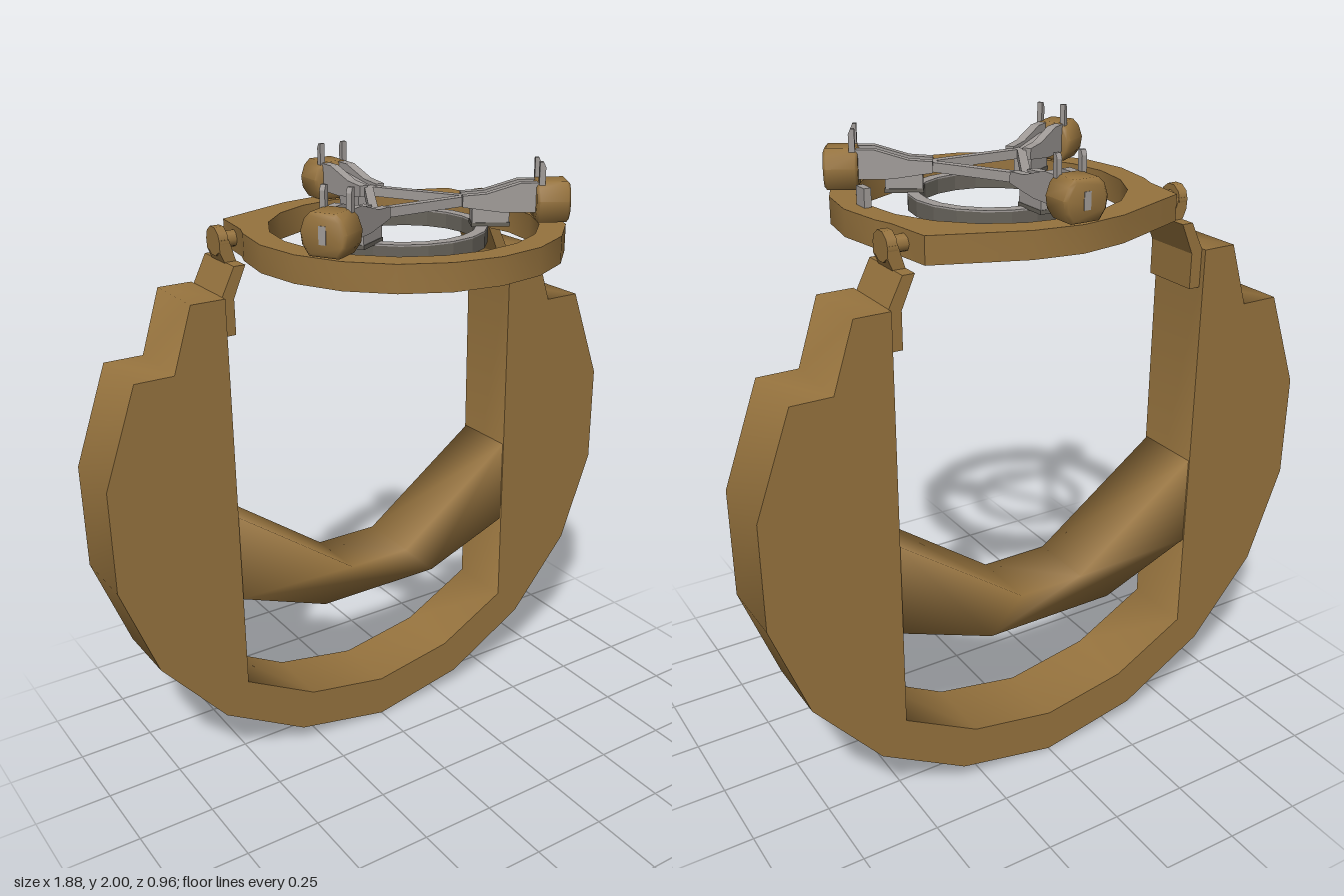
import * as THREE from 'three';
import { toCreasedNormals } from 'three/addons/utils/BufferGeometryUtils.js';

function paint(name, color) {
  const m = new THREE.MeshStandardMaterial({ color });
  m.name = name;
  return m;
}
const brown = paint('bronze brown', 0x96733e);
const grey = paint('metal grey', 0xa09b98);
const darkGrey = paint('dark ring grey', 0x66625a);

const shapeOf = (pts) => new THREE.Shape(pts.map(([x, y]) => new THREE.Vector2(x, y)));
const circlePts = (r, n) => Array.from({ length: n }, (_, i) => {
  const a = (i / n) * Math.PI * 2;
  return [r * Math.cos(a), r * Math.sin(a)];
});

function add(parent, name, geometry, material, x = 0, y = 0, z = 0) {
  const mesh = new THREE.Mesh(geometry, material);
  mesh.name = name;
  mesh.position.set(x, y, z);
  parent.add(mesh);
  return mesh;
}

const box = (w, h, d) => new THREE.BoxGeometry(w, h, d);

// Outline in (x, y), extruded between two z values
function slab(pts, z0, z1, bevel = 0) {
  const g = new THREE.ExtrudeGeometry(shapeOf(pts), {
    depth: z1 - z0 - 2 * bevel, bevelEnabled: bevel > 0,
    bevelSize: bevel, bevelThickness: bevel, bevelOffset: -bevel, bevelSegments: 1,
  });
  return g.translate(0, 0, z0 + bevel);
}

// Outline in (z, y), extruded across x and centred on x = cx
const rail = (pts, width, cx = 0) => slab(pts, -width / 2, width / 2).rotateY(-Math.PI / 2).translate(cx, 0, 0);

// Flat ring with a hole, lying between two heights
function flatRing(outer, inner, y0, y1) {
  const s = shapeOf(outer);
  s.holes.push(new THREE.Path(inner.map(([x, y]) => new THREE.Vector2(x, y))));
  return new THREE.ExtrudeGeometry(s, { depth: y1 - y0, bevelEnabled: false })
    .rotateX(-Math.PI / 2).translate(0, y0, 0);
}

// Open horseshoe frame with stepped shoulders, and its sagging cross band
function addFrame(root) {
  const half = [
    [0.325, 0.065], [0.61, 0.23], [0.825, 0.485], [0.938, 0.795], [0.938, 1.13],
    [0.825, 1.44], [0.70, 1.44], [0.635, 1.64], [0.525, 1.64], [0.525, 0.33], [0.28, 0.195],
  ];
  const left = half.map(([x, y]) => [-x, y]).reverse();
  const outline = [[0, 0], ...half, [0, 0.145], ...left];
  add(root, 'horseshoeFrame', toCreasedNormals(slab(outline, -0.367, -0.14), 1.3), brown);

  // Soft, rounded-looking band: normals shared over all its edges
  const band = [
    [-0.53, 0.645], [-0.22, 0.525], [0.22, 0.525], [0.53, 0.645],
    [0.53, 0.94], [0.11, 0.635], [-0.11, 0.635], [-0.53, 0.94],
  ];
  add(root, 'crossBand', toCreasedNormals(slab(band, -0.362, -0.145), Math.PI), brown);
}

// Hinge bracket joining the frame to the upper ring
function addHinge(root, s) {
  const hinge = new THREE.Group();
  hinge.name = s > 0 ? 'leftHinge' : 'rightHinge';
  root.add(hinge);
  const m = (pts) => pts.map(([x, y]) => [s * x, y]);
  add(hinge, 'hingeStrap', slab(m([
    [0.487, 1.52], [0.53, 1.52], [0.53, 1.63], [0.482, 1.725], [0.445, 1.725], [0.487, 1.63],
  ]), -0.35, -0.16), brown);
  add(hinge, 'hingeNeck', slab(m([
    [0.445, 1.72], [0.482, 1.72], [0.497, 1.755], [0.497, 1.79], [0.466, 1.79],
  ]), -0.30, -0.215), brown);
  const knuckle = new THREE.CylinderGeometry(0.044, 0.044, 0.03, 10).rotateZ(Math.PI / 2);
  add(hinge, 'hingeKnuckle', knuckle, brown, s * 0.482, 1.782, -0.258);
  const pin = new THREE.CylinderGeometry(0.025, 0.025, 0.08, 8).rotateZ(Math.PI / 2);
  add(hinge, 'hingePin', pin, brown, s * 0.45, 1.782, -0.258);
}

// Upper ring, widened into two corners at the hinges
function addUpperRing(root) {
  const pts = circlePts(0.478, 20);
  const outer = [];
  pts.forEach((p, i) => {
    if (i === 2) outer.push([0.435, 0.2], [0.415, 0.35]);
    else if (i === 8) outer.push([-0.415, 0.35], [-0.435, 0.2]);
    else if (i !== 3 && i !== 7) outer.push(p);
  });
  add(root, 'upperRing', toCreasedNormals(flatRing(outer, circlePts(0.4, 20), 1.74, 1.82), 0.5), brown);
  add(root, 'ringTab', box(0.022, 0.055, 0.05), grey, 0.415, 1.847, 0);

  // Dark inner ring with a lighter top face
  add(root, 'innerRing', flatRing(circlePts(0.25, 20), circlePts(0.215, 20), 1.765, 1.81), darkGrey);
  add(root, 'innerRingTop', flatRing(circlePts(0.25, 20), circlePts(0.215, 20), 1.81, 1.815), grey);
}

// One radial clamp arm, built pointing along +z
function addArm(root, angle) {
  const arm = new THREE.Group();
  arm.name = 'clampArm';
  arm.rotation.y = angle;
  root.add(arm);

  // Grooved arm: two rails and a lower web
  const side = [
    [0.17, 1.872], [0.29, 1.855], [0.40, 1.855], [0.40, 1.94], [0.34, 1.94], [0.24, 1.91], [0.17, 1.905],
  ];
  for (const s of [-1, 1]) {
    add(arm, 'armRail', rail(side, 0.028, s * 0.029), grey);
    // Upright fork prongs
    add(arm, 'forkProng', rail([
      [0.392, 1.88], [0.41, 1.88], [0.41, 1.985], [0.403, 2.0], [0.392, 2.0],
    ], 0.016, s * 0.04), grey);
  }
  add(arm, 'armWeb', rail([
    [0.17, 1.872], [0.29, 1.86], [0.40, 1.86], [0.40, 1.915], [0.34, 1.915], [0.17, 1.89],
  ], 0.032), grey);

  // Narrow foot down to the inner ring
  add(arm, 'armFoot', box(0.06, 0.05, 0.11), grey, 0, 1.847, 0.255);
  add(arm, 'footPlate', box(0.064, 0.012, 0.114), darkGrey, 0, 1.818, 0.255);

  // Rounded clamp pod and its outer plate
  const pod = [
    [-0.045, 1.825], [0.045, 1.825], [0.066, 1.855], [0.071, 1.89],
    [0.058, 1.925], [0.038, 1.943], [-0.038, 1.943], [-0.058, 1.925], [-0.071, 1.89], [-0.066, 1.855],
  ];
  add(arm, 'clampPod', toCreasedNormals(slab(pod, 0.385, 0.485, 0.008), 0.9), brown);
  add(arm, 'podPlate', box(0.022, 0.05, 0.006), grey, 0, 1.885, 0.484);
}

export function createModel() {
  const root = new THREE.Group();
  root.name = 'ringMount';
  addFrame(root);
  addUpperRing(root);
  for (const s of [-1, 1]) addHinge(root, s);

  // Three arms tied together by a triangle of thin bars
  const R = 0.19;
  for (let i = 0; i < 3; i++) {
    const a = Math.PI / 3 + (i * Math.PI * 2) / 3;
    addArm(root, a);
    const mid = a + Math.PI / 3;
    const bar = add(root, 'triangleBar', box(R * Math.sqrt(3), 0.028, 0.026), grey,
      Math.sin(mid) * R / 2, 1.885, Math.cos(mid) * R / 2);
    bar.rotation.y = mid;
  }
  return root;
}
